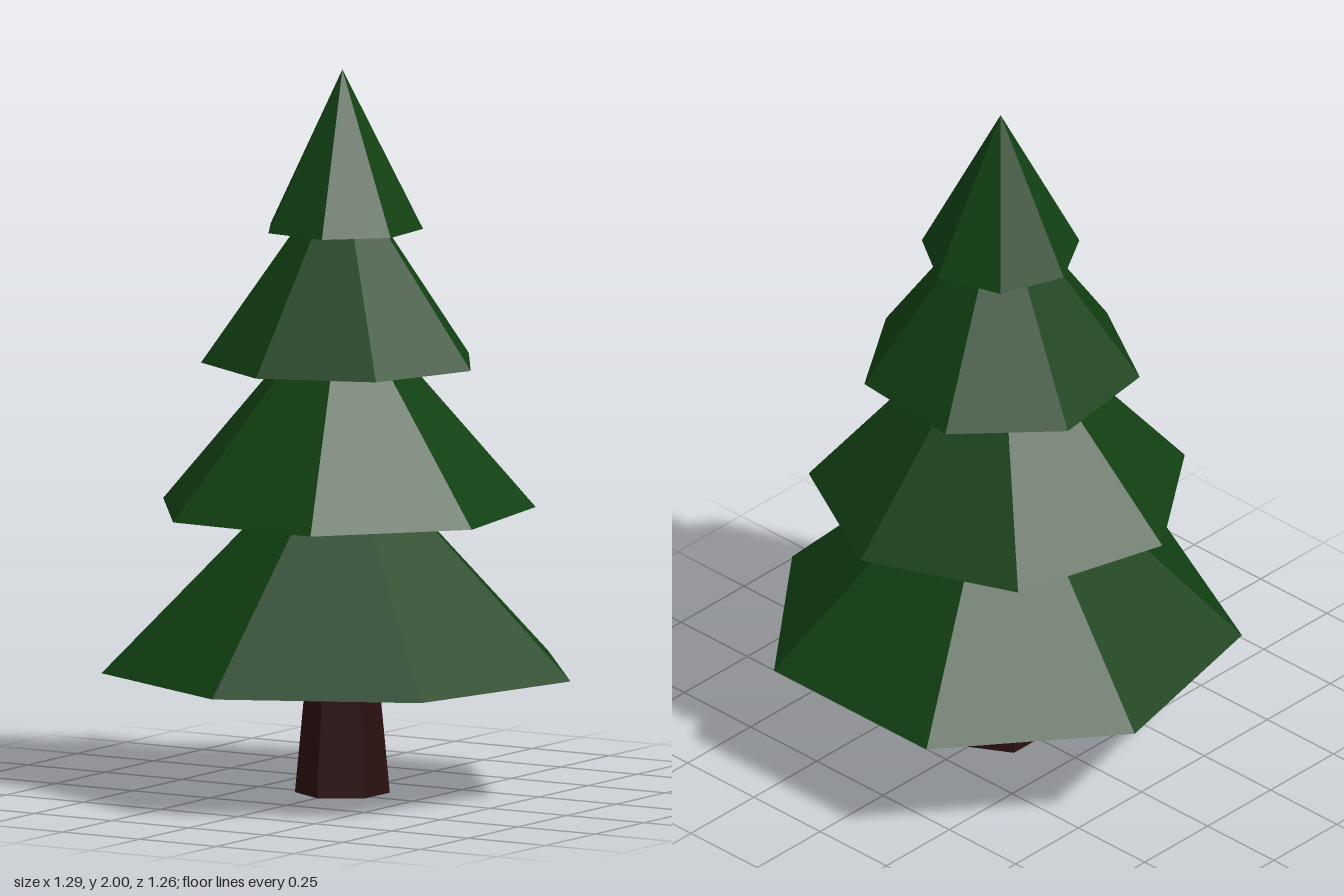
import * as THREE from 'three';

const AXIS_Z = -0.033;

export function createModel() {
  const group = new THREE.Group();
  group.name = 'pineTree';

  const needles = new THREE.MeshStandardMaterial({ color: 0x124013, flatShading: true });
  needles.name = 'needle green';
  const bark = new THREE.MeshStandardMaterial({ color: 0x2a1010, flatShading: true });
  bark.name = 'bark brown';

  const add = (name, geometry, material, y, degrees = 0) => {
    const mesh = new THREE.Mesh(geometry, material);
    mesh.name = name;
    mesh.position.set(0, y, AXIS_Z);
    mesh.rotation.y = THREE.MathUtils.degToRad(degrees);
    group.add(mesh);
  };

  // Tapered six-sided trunk, running up into the lowest branches
  add('trunk', new THREE.CylinderGeometry(0.083, 0.13, 0.5, 6), bark, 0.25);

  // Seven-sided branch tiers: base height, tip height, radius, turn in degrees
  const tiers = [
    ['bottomBranches', 0.34, 1.01, 0.663, 0],
    ['lowerBranches', 0.785, 1.4, 0.53, 23],
    ['upperBranches', 1.19, 1.745, 0.387, -5.2],
    ['treeTop', 1.56, 2.0, 0.221, 17.8],
  ];
  for (const [name, base, tip, radius, turn] of tiers) {
    const height = tip - base;
    add(name, new THREE.ConeGeometry(radius, height, 7), needles, base + height / 2, turn);
  }

  return group;
}
